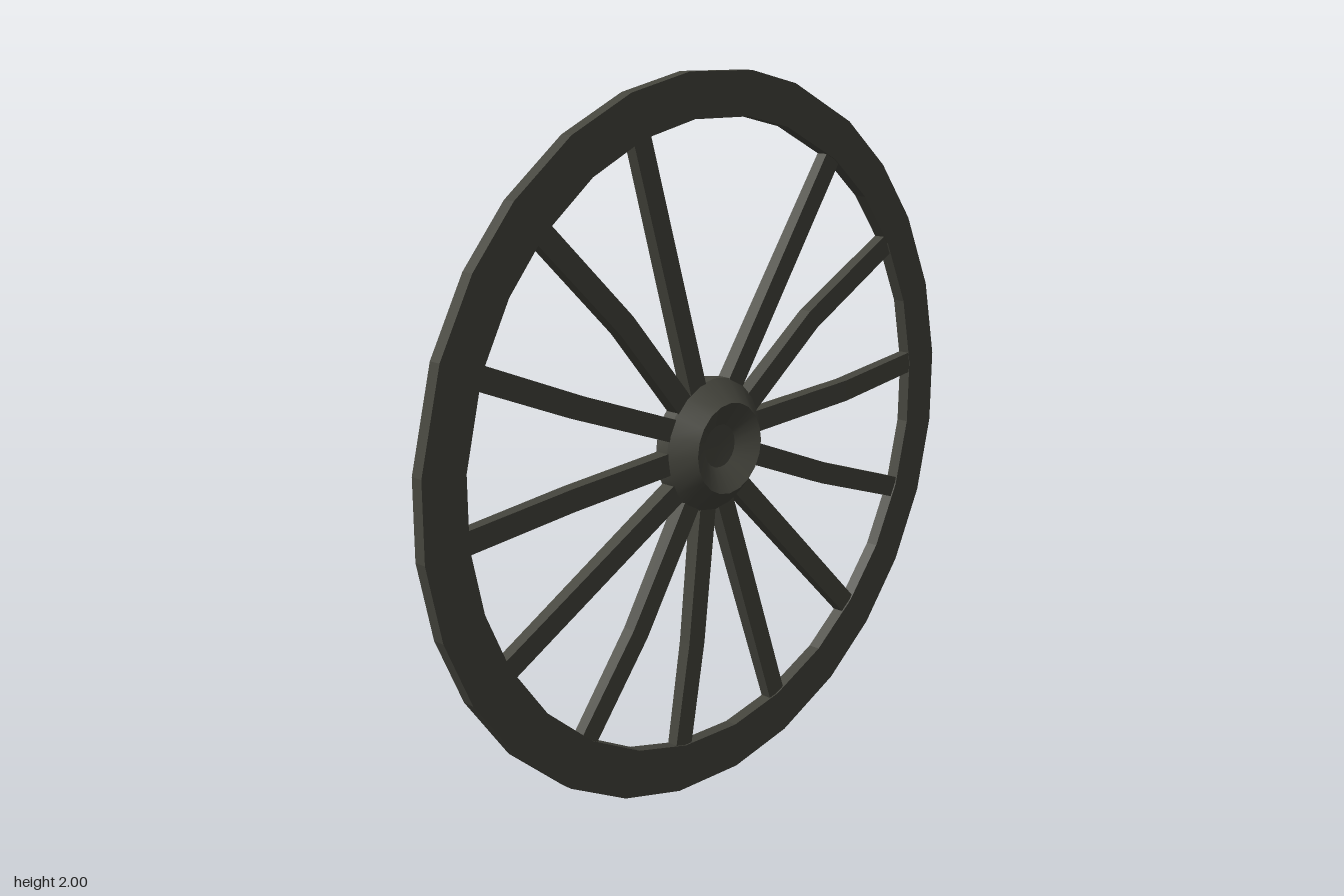
import * as THREE from 'three';
import { toCreasedNormals } from 'three/addons/utils/BufferGeometryUtils.js';

// Everything is laid out in the wheel plane: u runs towards -z, v runs up from the hub centre.
const CENTRE_Y = 1;

// Uneven hand-hewn rim: corner angles in degrees clockwise from the top
const RIM_ANGLES = [
  7.8, 18.2, 33.3, 45.3, 57.5, 71, 84.2, 96.5, 109.6, 123, 135.8, 148.4, 162.3, 175,
  188.8, 201.4, 214.3, 227.7, 240.9, 252.6, 264.8, 276.8, 292.3, 304.9, 316.4, 329.6, 342.2, 354.3,
];

// Spokes as [u, v] points from hub to rim; bent ones have a middle point (third number = sideways bow)
const SPOKES = [
  [[-0.07, 0.18], [-0.27, 0.85]],
  [[0.09, 0.17], [0.48, 0.735]],
  [[0.16, 0.10], [0.415, 0.29], [0.755, 0.47]],
  [[0.175, 0.035], [0.545, 0.06, 0.021], [0.885, 0.09]],
  [[0.17, -0.06], [0.48, -0.185], [0.83, -0.305]],
  [[0.11, -0.14], [0.61, -0.64]],
  [[0.045, -0.175], [0.27, -0.825]],
  [[-0.03, -0.185], [-0.075, -0.56], [-0.13, -0.855]],
  [[-0.10, -0.165], [-0.295, -0.47], [-0.495, -0.72]],
  [[-0.16, -0.115], [-0.755, -0.435]],
  [[-0.185, -0.02], [-0.525, -0.04], [-0.87, -0.07]],
  [[-0.175, 0.075], [-0.495, 0.195], [-0.82, 0.33]],
  [[-0.125, 0.14], [-0.33, 0.38], [-0.61, 0.65]],
];

function rimGeometry() {
  // slightly heavier towards the bottom, with the opening a touch off centre
  const ring = (radius, wobble, shiftU) => RIM_ANGLES.map((deg) => {
    const a = THREE.MathUtils.degToRad(deg);
    const r = radius + wobble * Math.cos(a);
    return new THREE.Vector2(Math.sin(a) * r + shiftU, Math.cos(a) * r);
  });
  const shape = new THREE.Shape(ring(1.003, 0.006, 0));
  // the opening winds against the outline so its wall faces the hub
  shape.holes.push(new THREE.Path(ring(0.876, 0.012, 0.006).reverse()));
  const g = new THREE.ExtrudeGeometry(shape, { depth: 0.036, bevelEnabled: false });
  return g.translate(0, 0, -0.008).rotateY(Math.PI / 2);
}

// Square bar swept along the spoke's points, thinning towards the rim
function spokeGeometry(points) {
  const last = points.length - 1;
  const path = points.map(([u, v, bow = 0], i) =>
    new THREE.Vector3(bow + 0.002 + 0.006 * i / last, v, -u));
  const dirs = path.map((_, i) => {
    const d = path[Math.min(i + 1, last)].clone().sub(path[Math.max(i - 1, 0)]);
    d.x = 0;
    return d.normalize();
  });
  // bury both ends in the hub and the rim
  path[0].addScaledVector(dirs[0], -0.06);
  path[last].addScaledVector(dirs[last], 0.04);

  const positions = [];
  const index = [];
  const half = 0.031;
  path.forEach((p, i) => {
    const t = dirs[i];
    const halfX = 0.021 - 0.005 * i / last;
    for (const [sx, sn] of [[1, 1], [-1, 1], [-1, -1], [1, -1]]) {
      positions.push(p.x + sx * halfX, p.y + sn * half * t.z, p.z - sn * half * t.y);
    }
    if (i === last) return;
    for (let k = 0; k < 4; k++) {
      const a = i * 4 + k;
      const b = i * 4 + (k + 1) % 4;
      index.push(a, b, b + 4, a, b + 4, a + 4);
    }
  });
  const e = last * 4;
  index.push(0, 2, 1, 0, 3, 2, e, e + 1, e + 2, e, e + 2, e + 3);

  const indexed = new THREE.BufferGeometry();
  indexed.setAttribute('position', new THREE.Float32BufferAttribute(positions, 3));
  indexed.setIndex(index);
  const g = indexed.toNonIndexed();
  g.computeVertexNormals();
  return g;
}

// Bevelled hub with a dished face on both sides
function hubGeometry() {
  const half = [[0.187, 0.02], [0.127, 0.078], [0.06, 0.04], [0, 0.036]];
  const profile = [
    ...half.map(([r, x]) => new THREE.Vector2(r, -x)).reverse(),
    ...half.map(([r, x]) => new THREE.Vector2(r, x)),
  ];
  const g = new THREE.LatheGeometry(profile, 20).rotateZ(-Math.PI / 2);
  return toCreasedNormals(g, 0.45);
}

export function createModel() {
  const wood = new THREE.MeshStandardMaterial({ color: 0x45453d });
  wood.name = 'dark weathered wood';

  const wheel = new THREE.Group();
  wheel.name = 'wagonWheel';
  const add = (name, geometry, parent = wheel) => {
    const mesh = new THREE.Mesh(geometry, wood);
    mesh.name = name;
    parent.add(mesh);
  };

  add('rim', rimGeometry());
  add('hub', hubGeometry());

  const spokes = new THREE.Group();
  spokes.name = 'spokes';
  SPOKES.forEach((points, i) => add(`spoke${i + 1}`, spokeGeometry(points), spokes));
  wheel.add(spokes);

  wheel.position.y = CENTRE_Y;
  const model = new THREE.Group();
  model.name = 'model';
  model.add(wheel);
  return model;
}
